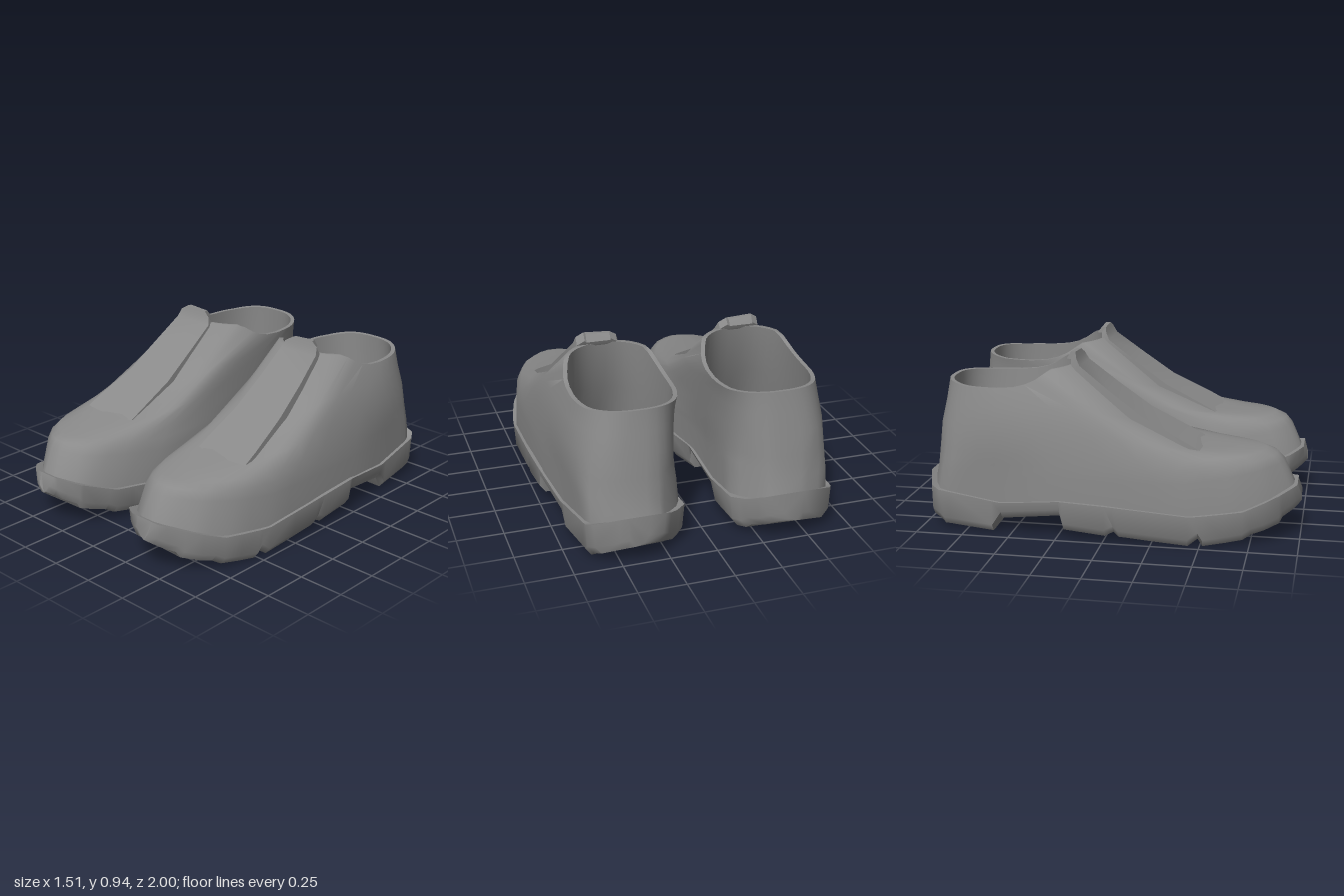
import * as THREE from 'three';
import { toCreasedNormals } from 'three/addons/utils/BufferGeometryUtils.js';

// Linear interpolation through [key, value] pairs with ascending keys
function interp(points, t) {
  if (t <= points[0][0]) return points[0][1];
  for (let i = 1; i < points.length; i++) {
    const [a, va] = points[i - 1], [b, vb] = points[i];
    if (t <= b) return va + (vb - va) * (t - a) / (b - a);
  }
  return points[points.length - 1][1];
}

// Skin over closed rings of [x, y, z]; side -1 mirrors it
function loft(rings, side, capped, crease) {
  const n = rings[0].length, idx = [];
  const tri = (a, b, c) => (side > 0 ? idx.push(a, b, c) : idx.push(a, c, b));
  for (let k = 0; k < rings.length - 1; k++) {
    for (let i = 0; i < n; i++) {
      const a = k * n + i, b = k * n + (i + 1) % n;
      tri(a, a + n, b + n);
      tri(a, b + n, b);
    }
  }
  if (capped) {
    const e = (rings.length - 1) * n;
    for (let i = 1; i < n - 1; i++) {
      tri(0, i, i + 1);
      tri(e, e + i + 1, e + i);
    }
  }
  const pos = rings.flat().flatMap(([x, y, z]) => [x * side, y, z]);
  const g = new THREE.BufferGeometry();
  g.setAttribute('position', new THREE.Float32BufferAttribute(pos, 3));
  g.setIndex(idx);
  return toCreasedNormals(g, crease);
}

// Plan of the sole: outer and inner edge x along z
const OUTER = [[-1, 0.47], [-0.945, 0.635], [-0.9, 0.664], [-0.27, 0.745], [-0.08, 0.755], [0.46, 0.745],
  [0.7, 0.695], [0.87, 0.608], [0.98, 0.475], [1, 0.43]];
const INNER = [[-1, 0.35], [-0.985, 0.27], [-0.84, 0.125], [-0.2, 0.112], [0.08, 0.065],
  [0.46, 0.065], [0.715, 0.112], [0.915, 0.19], [0.98, 0.29], [1, 0.33]];

// Ring of the upper: a superellipse blended with the sole plan by weight plan
function outline({ zf, zb, zc, xi, xo, nf = 2.45, nb = 4, plan = 0, y }) {
  const ring = [], N = 40;
  for (let i = 0; i < N; i++) {
    const a = ((i + 0.5) / N) * Math.PI * 2, c = Math.cos(a), s = Math.sin(a);
    const p = 2 / (s > 0 ? nf : nb);
    const z = zc + (s > 0 ? zf - zc : zc - zb) * Math.sign(s) * Math.abs(s) ** p;
    const t = z > 0 ? z / zf : -z / zb;
    const round = (xi + xo) / 2 + (xo - xi) / 2 * Math.sign(c) * Math.abs(c) ** p;
    const sole = c > 0 ? interp(OUTER, t) + xo - 0.755 : interp(INNER, t) + xi - 0.065;
    ring.push([round + (sole - round) * plan, interp(y, z), z]);
  }
  return ring;
}

// Upper edge of the sole along z
const SOLE_TOP = [[-1, 0.265], [-0.92, 0.215], [-0.53, 0.17], [-0.25, 0.21], [0, 0.2],
  [0.45, 0.165], [0.72, 0.19], [0.98, 0.285]];

// Tread line along z, with lugs and the arch in front of the heel
const TREAD = [[-1, 0.1], [-0.985, 0.09], [-0.945, 0.06], [-0.9, 0.045], [-0.875, 0.02], [-0.84, 0.019],
  [-0.6, 0.005], [-0.55, 0.08], [-0.23, 0.125], [-0.21, 0.05], [0.01, 0.03], [0.055, 0.055], [0.08, 0.03],
  [0.25, 0.015], [0.44, 0], [0.49, 0.04], [0.515, 0], [0.62, 0.015], [0.715, 0.03], [0.757, 0.055],
  [0.82, 0.07], [0.893, 0.095], [0.908, 0.125], [0.95, 0.145], [0.98, 0.165], [1, 0.18]];

function soleGeometry(side) {
  const rings = TREAD.map(([z, y]) => {
    const o = interp(OUTER, z), i = interp(INNER, z);
    const top = interp(SOLE_TOP, z), zt = Math.min(z, 0.978);
    return [
      [o, top, zt], [o - 0.008, y + 0.04, z], [o - 0.038, y, z],
      [i + 0.042, y + 0.012, z], [i + 0.012, y + 0.055, z], [i, top, zt],
    ];
  });
  return loft(rings, side, true, 0.8);
}

// Outer skin from welt to collar, over the rim and down the lining
const COLLAR = [[-0.88, 0.785], [-0.75, 0.77], [-0.52, 0.77], [-0.4, 0.8], [-0.3, 0.87], [-0.2, 0.88]];
const UPPER = [
  { zf: 0.965, zb: -0.975, zc: 0, xi: 0.08, xo: 0.74, plan: 1, y: SOLE_TOP.map(([z, y]) => [z, y - 0.01]) },
  { zf: 0.905, zb: -0.955, zc: 0, xi: 0.09, xo: 0.738, plan: 0.8, y: [[-0.95, 0.32], [0.4, 0.33], [0.9, 0.4]] },
  { zf: 0.87, zb: -0.945, zc: -0.05, xi: 0.098, xo: 0.732, nb: 3.6, plan: 0.55, y: [[-0.94, 0.38], [0.4, 0.39], [0.87, 0.44]] },
  { zf: 0.81, zb: -0.935, zc: -0.1, xi: 0.105, xo: 0.725, nb: 3.4, plan: 0.3, y: [[-0.93, 0.44], [0.3, 0.44], [0.81, 0.46]] },
  { zf: 0.49, zb: -0.92, zc: -0.2, xi: 0.11, xo: 0.708, nf: 3, nb: 3.2, y: [[-0.9, 0.56], [0, 0.56], [0.49, 0.472]] },
  { zf: 0.16, zb: -0.9, zc: -0.35, xi: 0.108, xo: 0.68, nf: 2.7, nb: 2.9, y: [[-0.9, 0.67], [-0.1, 0.69], [0.16, 0.605]] },
  { zf: -0.18, zb: -0.885, zc: -0.53, xi: 0.105, xo: 0.645, nb: 2.6, y: COLLAR },
  { zf: -0.2, zb: -0.865, zc: -0.53, xi: 0.127, xo: 0.623, nb: 2.6, y: COLLAR },
  { zf: -0.15, zb: -0.87, zc: -0.5, xi: 0.14, xo: 0.63, nb: 2.8, y: [[-0.9, 0.6], [0, 0.6]] },
  { zf: 0.1, zb: -0.88, zc: -0.4, xi: 0.17, xo: 0.63, nb: 3, y: [[-0.9, 0.18], [0, 0.18]] },
];

// Tongue panel, raised on its outer edge, ending in a tab: [z, y, inner x, outer x]
const TONGUE = [[-0.215, 0.945, 0.335, 0.465], [-0.19, 0.945, 0.33, 0.47], [-0.18, 0.92, 0.29, 0.51],
  [-0.16, 0.88, 0.275, 0.52], [0, 0.76, 0.272, 0.545], [0.18, 0.632, 0.265, 0.565],
  [0.4, 0.521, 0.26, 0.595], [0.5, 0.468, 0.26, 0.6]];

function tongueGeometry(side) {
  const rings = TONGUE.map(([z, y, a, b]) => [
    [b, y, z], [b, y - 0.04, z - 0.025], [a, y - 0.04, z - 0.025], [a, y - 0.008, z],
  ]);
  return loft(rings, side, true, 0.6);
}

export function createModel() {
  const material = new THREE.MeshStandardMaterial({ color: 0x8a8a8a, side: THREE.DoubleSide });
  const model = new THREE.Group();
  model.name = 'pairOfShoes';
  for (const side of [1, -1]) {
    const shoe = new THREE.Group();
    shoe.name = side > 0 ? 'leftShoe' : 'rightShoe';
    const add = (name, geometry) => {
      const mesh = new THREE.Mesh(geometry, material);
      mesh.name = name;
      shoe.add(mesh);
    };
    add('sole', soleGeometry(side));
    add('upper', loft(UPPER.map(outline), side, false, 1.2));
    add('tongue', tongueGeometry(side));
    model.add(shoe);
  }
  return model;
}
